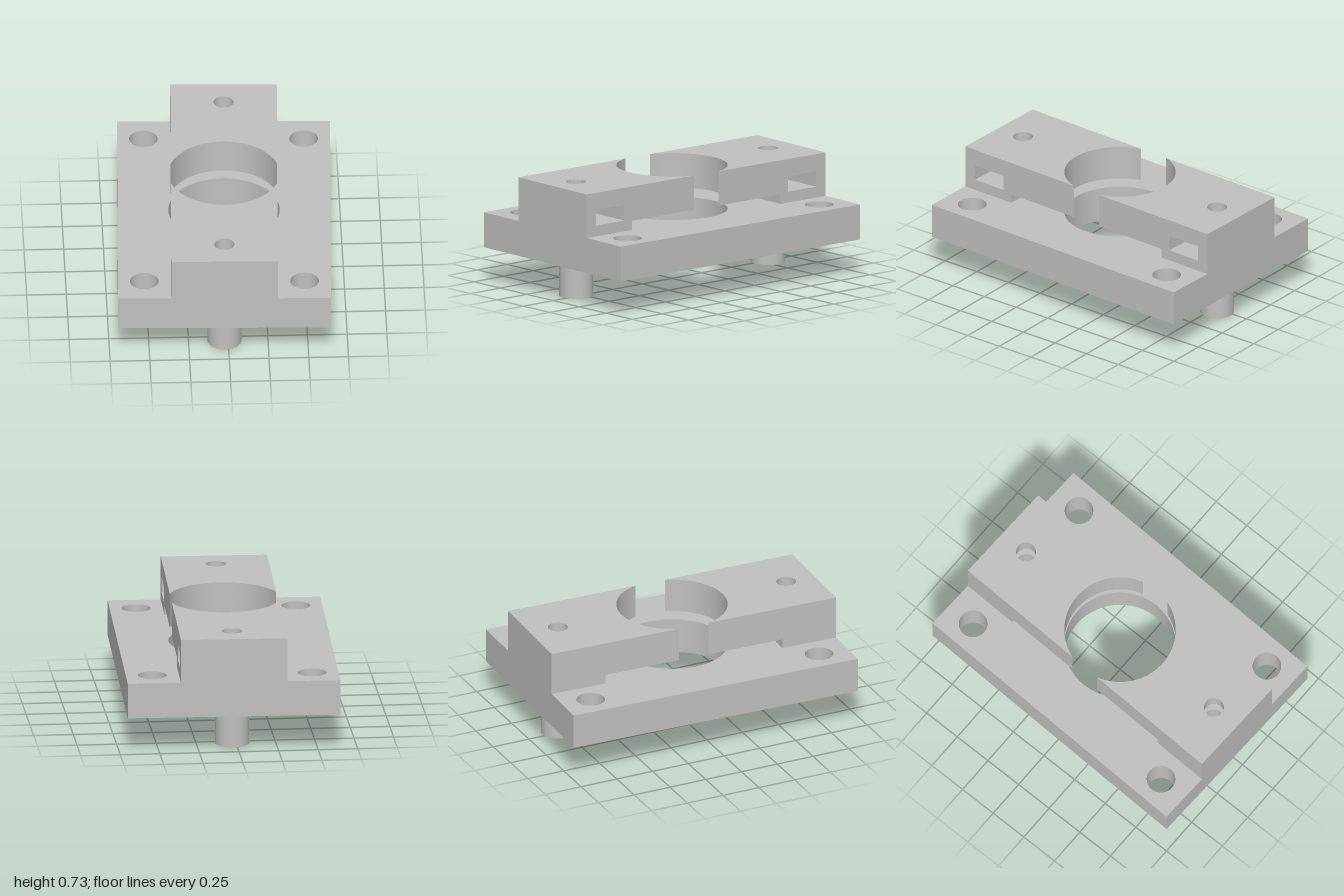
import * as THREE from 'three';
import { toCreasedNormals } from 'three/addons/utils/BufferGeometryUtils.js';

const HALF_W = 0.67, HALF_L = 0.98;      // base plate
const BLOCK_W = 0.335, BORE = 0.35;      // raised block and central bore
const BOLT_Z = 0.787, BOLT_R = 0.0625;   // bolt positions

const grey = new THREE.MeshStandardMaterial({ color: 0xc0c0c0 });
grey.name = 'grey';

// Plan drawings use x and -z; they are extruded upwards from y0 to y1.
function layer(name, shape, y0, y1) {
  let geo = new THREE.ExtrudeGeometry(shape, { depth: y1 - y0, bevelEnabled: false, curveSegments: 48 });
  geo.rotateX(-Math.PI / 2);
  geo.translate(0, y0, 0);
  geo = toCreasedNormals(geo, 0.5);
  const mesh = new THREE.Mesh(geo, grey);
  mesh.name = name;
  return mesh;
}

function circle(x, y, r, Type = THREE.Path) {
  const p = new Type();
  p.absarc(x, y, r, 0, Math.PI * 2, false);
  return p;
}

function polygon(points) {
  return new THREE.Shape(points.map(([x, y]) => new THREE.Vector2(x, y)));
}

// Half of the raised block, cut by the bore; an optional nut pocket opens to +x
function halfBlock(s, pocket) {
  const a = Math.acos(BLOCK_W / BORE);
  const shape = new THREE.Shape();
  shape.moveTo(BLOCK_W, s * BORE * Math.sin(a));
  shape.absarc(0, 0, BORE, s * a, s * (Math.PI - a), s < 0);
  shape.lineTo(-BLOCK_W, s * HALF_L);
  shape.lineTo(BLOCK_W, s * HALF_L);
  if (pocket) {
    const end = -0.115, near = s * (BOLT_Z - 0.115), far = s * (BOLT_Z + 0.115);
    shape.lineTo(BLOCK_W, far);
    shape.lineTo(end, far);
    shape.lineTo(end, near);
    shape.lineTo(BLOCK_W, near);
  } else {
    shape.holes.push(circle(0, s * BOLT_Z, BOLT_R));
  }
  shape.closePath();
  return shape;
}

export function createModel() {
  const model = new THREE.Group();
  model.name = 'mountingBracket';

  // Base plate with bore, corner holes and counterbores around the pegs
  const plate = polygon([[-HALF_W, -HALF_L], [HALF_W, -HALF_L], [HALF_W, HALF_L], [-HALF_W, HALF_L]]);
  plate.holes.push(circle(0, 0, BORE));
  for (const s of [-1, 1]) {
    plate.holes.push(circle(0, s * BOLT_Z, 0.155));
    for (const t of [-1, 1]) plate.holes.push(circle(t * 0.504, s * BOLT_Z, 0.09));
  }
  model.add(layer('basePlate', plate, 0.225, 0.45));

  for (const s of [-1, 1]) {
    const half = new THREE.Group();
    half.name = s < 0 ? 'frontClamp' : 'backClamp';

    // Foot joining the overhanging block to the plate
    const foot = polygon([[-BLOCK_W, s * 0.61], [BLOCK_W, s * 0.61], [BLOCK_W, s * HALF_L], [-BLOCK_W, s * HALF_L]]);
    foot.holes.push(circle(0, s * BOLT_Z, BOLT_R));
    half.add(layer('foot', foot, 0.45, 0.51));

    // Overhanging block with its side pocket
    half.add(layer('pocketFloor', halfBlock(s, false), 0.51, 0.52));
    half.add(layer('pocketWalls', halfBlock(s, true), 0.52, 0.62));
    half.add(layer('blockTop', halfBlock(s, false), 0.62, 0.73));

    // Hollow peg below the plate
    const peg = circle(0, s * BOLT_Z, 0.107, THREE.Shape);
    peg.holes.push(circle(0, s * BOLT_Z, BOLT_R));
    half.add(layer('peg', peg, 0, 0.45));
    model.add(half);
  }

  // The whole part sits slightly turned
  model.rotation.y = -0.03;
  return model;
}
